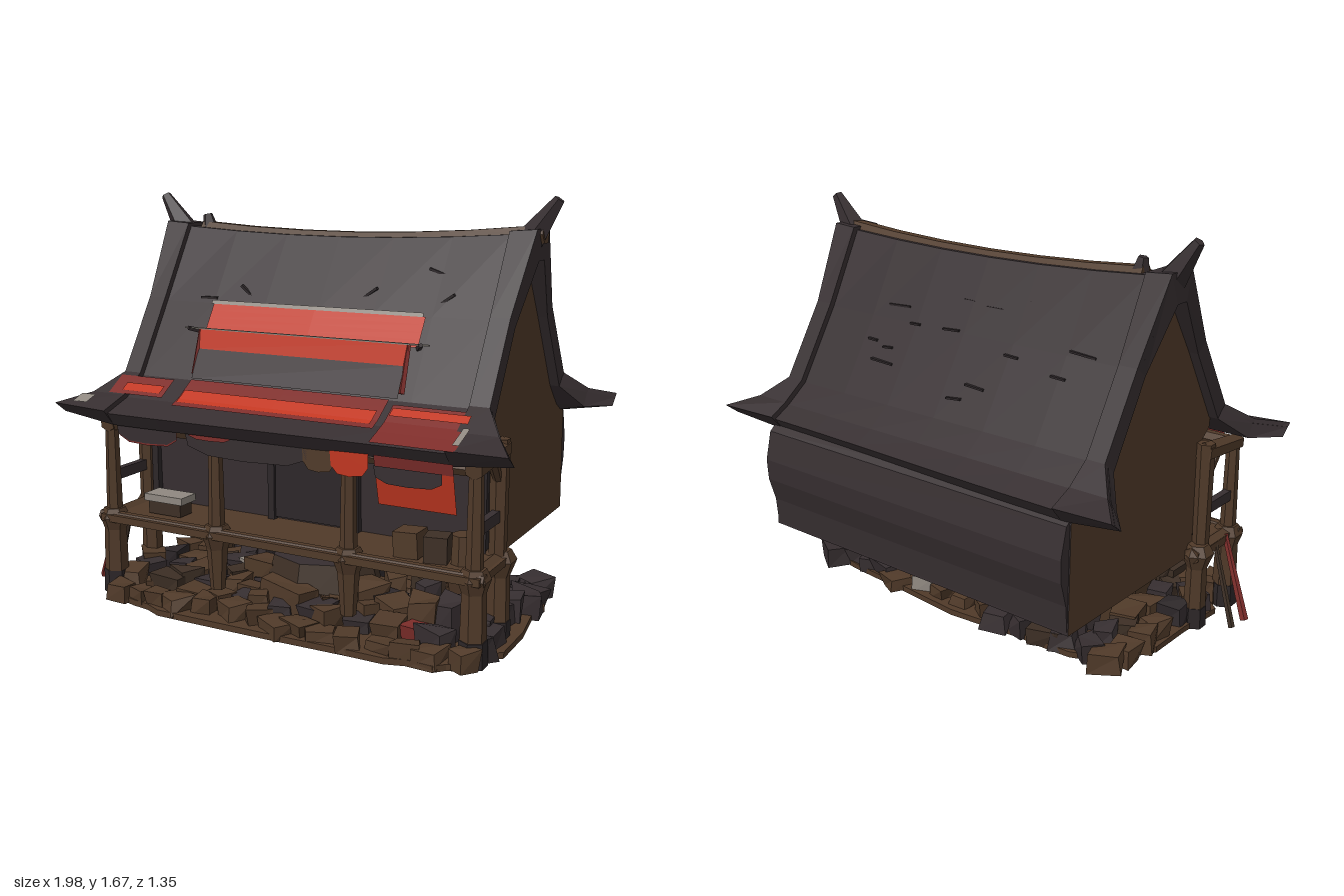
import * as THREE from 'three';

const mat = (name, color, side = THREE.FrontSide) => {
  const m = new THREE.MeshStandardMaterial({ color, side, flatShading: true });
  m.name = name;
  return m;
};

export function createModel() {
  const slate = mat('dark slate', 0x362e30, THREE.DoubleSide);
  const shade = mat('shadow slate', 0x2c2628);
  const wood = mat('brown wood', 0x503a29);
  const darkWood = mat('dark wood', 0x3d2f25);
  const red = mat('bright red', 0xc03620, THREE.DoubleSide);
  const maroon = mat('faded red', 0x7d2d2a, THREE.DoubleSide);
  const grey = mat('pale grey', 0x8f8880);

  let seed = 11;
  const rnd = () => (seed = (seed * 16807) % 2147483647) / 2147483647;
  const span = (a, b) => a + (b - a) * rnd();
  const model = new THREE.Group();
  model.name = 'stiltHouse';

  const add = (name, geo, material, x = 0, y = 0, z = 0, parent = model) => {
    const m = new THREE.Mesh(geo, material);
    m.name = name;
    m.position.set(x, y, z);
    parent.add(m);
    return m;
  };
  const box = (name, w, h, d, x, y, z, material) =>
    add(name, new THREE.BoxGeometry(w, h, d), material, x, y, z);
  // Tapered post between two points
  const beam = (name, a, b, r0, r1, material, sides = 6) => {
    const A = new THREE.Vector3(...a), B = new THREE.Vector3(...b), d = B.clone().sub(A);
    const m = add(name, new THREE.CylinderGeometry(r1, r0, d.length(), sides), material);
    m.position.copy(A).add(B).multiplyScalar(0.5);
    m.quaternion.setFromUnitVectors(new THREE.Vector3(0, 1, 0), d.normalize());
    return m;
  };
  // Side outline (z, y) extruded across the width
  const across = (name, outline, width, material) => {
    const shape = new THREE.Shape(outline.map(([z, y]) => new THREE.Vector2(-z, y)));
    const g = new THREE.ExtrudeGeometry(shape, { depth: width, bevelEnabled: false });
    add(name, g.rotateY(Math.PI / 2).translate(-width / 2, 0, 0), material);
  };
  // Faceted skin over rows of points; closed rows get strip end caps
  const loft = (rows, closed) => {
    const p = [], n = rows[0].length;
    const quad = (a, b, c, d) => p.push(...a, ...b, ...c, ...a, ...c, ...d);
    for (let i = 0; i + 1 < rows.length; i++)
      for (let j = 0; j < (closed ? n : n - 1); j++) {
        const k = (j + 1) % n;
        quad(rows[i][j], rows[i + 1][j], rows[i + 1][k], rows[i][k]);
      }
    if (closed) [rows[0], rows[rows.length - 1]].forEach((r, e) => {
      for (let j = 0; j < n / 2 - 1; j++) {
        const q = [r[j], r[j + 1], r[n - 2 - j], r[n - 1 - j]];
        quad(...(e ? q.reverse() : q));
      }
    });
    const g = new THREE.BufferGeometry();
    g.setAttribute('position', new THREE.Float32BufferAttribute(p, 3));
    g.computeVertexNormals();
    return g;
  };

  // House body: gable ends in wood, walls and underside in slate, bulging back wall
  across('houseBody', [[0.25, 0.31], [0.26, 0.78], [0.34, 0.84], [0.347, 0.9], [0.152, 1.2], [0, 1.44], [-0.08, 1.44],
    [-0.225, 1.2], [-0.41, 0.92], [-0.57, 0.79], [-0.6, 0.74], [-0.605, 0.31]], 1.56, [wood, slate]);
  across('backWall', [[-0.56, 0.79], [-0.62, 0.74], [-0.65, 0.62], [-0.645, 0.53], [-0.615, 0.43], [-0.606, 0.32],
    [-0.58, 0.32]], 1.55, slate);

  // Roof profile: outer z, outer y, inner z, inner y, from front eave to back eave
  const profile = [[0.6, 0.8, 0.56, 0.745], [0.48, 0.845, 0.45, 0.79], [0.368, 0.92, 0.335, 0.885],
    [0.183, 1.22, 0.147, 1.195], [0, 1.5, -0.01, 1.43], [-0.1, 1.5, -0.07, 1.43], [-0.257, 1.22, -0.22, 1.195],
    [-0.442, 0.92, -0.405, 0.885], [-0.54, 0.845, -0.5, 0.79], [-0.63, 0.8, -0.59, 0.745]];
  const roofRow = (x, lift) => {
    const s = Math.sign(x), end = Math.max(0, (Math.abs(x) - 0.74) / 0.1);
    const outer = [], inner = [];
    profile.forEach(([z, y, iz, iy], i) => {
      const dir = i < 5 ? 1 : -1, eave = i % 9 === 0, mid = i === 1 || i === 8, top = i === 4 || i === 5;
      const dx = s * end * (eave ? 0.15 : mid ? 0.06 : top ? 0.01 : -0.02);
      const dy = eave ? 0.012 * end : top ? 0.05 * x * x : 0;
      const dz = eave ? dir * (0.022 * end + 0.012 * Math.sin(x * 23)) : 0;
      outer.push([x + dx, y + dy + lift * 0.7, z + dz + dir * lift]);
      inner.unshift([x + dx, iy + (eave ? 0.035 * end : 0), iz + dz]);
    });
    return [...outer, ...inner];
  };
  const roof = (name, xs, lift) => add(name, loft(xs.map(x => roofRow(x, lift)), true), slate);
  roof('roof', [-0.84, -0.74, -0.5, -0.25, 0, 0.25, 0.5, 0.74, 0.84], 0);
  for (const s of [-1, 1]) {
    roof('gableTrim', s < 0 ? [-0.84, -0.74] : [0.74, 0.84], 0.02);
    beam('ridgeHorn', [s * 0.79, 1.49, -0.05], [s * 0.91, 1.66, -0.05], 0.062, 0.022, slate, 5);
  }
  beam('ridgeKnob', [-0.66, 1.45, -0.05], [-0.685, 1.58, -0.05], 0.055, 0.02, slate, 5);

  // Sagging ridge pole
  const ridge = [-0.7, -0.45, -0.2, 0.05, 0.3, 0.55, 0.86].map(x => [x, 1.485 + 0.06 * x * x, -0.05]);
  for (let i = 0; i < ridge.length - 1; i++) beam('ridgePole', ridge[i], ridge[i + 1], 0.04, 0.04, wood, 6);

  // Painted patches lying on the front slope
  const frontZ = y => {
    for (let i = 0; i < 4; i++) {
      const [z0, y0] = profile[i], [z1, y1] = profile[i + 1];
      if (y <= y1) return z0 + (z1 - z0) * (y - y0) / (y1 - y0);
    }
    return 0;
  };
  const patch = (name, x0, x1, y0, y1, material, lift = 0.012) => {
    const rows = [x0, (x0 + x1) / 2, x1].map(x =>
      [0, 0.25, 0.5, 0.75, 1].map(t => y0 + (y1 - y0) * t).map(y => [x, y + lift, frontZ(y) + lift]));
    add(name, loft(rows, false), material);
  };
  patch('roofBand', -0.82, -0.55, 0.845, 0.905, maroon, 0.018);
  patch('roofBandBright', -0.76, -0.57, 0.855, 0.88, red, 0.021);
  patch('roofBand', -0.48, 0.42, 0.832, 0.915, maroon);
  patch('roofBandBright', -0.47, 0.4, 0.84, 0.878, red, 0.016);
  patch('roofBand', 0.45, 0.78, 0.8, 0.9, maroon, 0.015);
  patch('roofBandBright', 0.46, 0.77, 0.865, 0.888, red, 0.02);
  patch('upperBanner', -0.49, 0.48, 1.1, 1.21, red, 0.01);
  patch('bannerEdge', -0.5, 0.47, 1.207, 1.222, grey, 0.012);
  patch('eaveTip', -0.92, -0.85, 0.808, 0.83, grey, 0.028);
  patch('eaveTip', 0.765, 0.79, 0.81, 0.85, grey, 0.026);

  // Propped banner board leaning out from the roof
  const board = (name, x0, x1, y0, z0, y1, z1, material) =>
    add(name, loft([x0, x1].map(x => [[x, y0, z0], [x, y1, z1]]), false), material);
  board('bannerCloth', -0.48, 0.47, 1.05, 0.345, 1.13, 0.325, red);
  board('bannerBoard', -0.47, 0.46, 0.935, 0.4, 1.05, 0.345, slate);
  box('bannerRail', 1.1, 0.005, 0.012, 0, 1.13, 0.32, grey);
  for (const x of [-0.53, 0.52]) beam('bannerProp', [x * 0.9, 1.1, 0.24], [x, 1.13, 0.33], 0.012, 0.01, slate, 4);
  for (const x of [-0.475, 0.465]) beam('bannerStay', [x, 0.95, 0.375], [x, 1.125, 0.318], 0.012, 0.01, maroon, 4);

  // Slivers of lifted thatch on both slopes
  for (let i = 0; i < 16; i++) {
    const y = span(1.0, 1.38), x = span(-0.6, 0.6), w = span(0.05, 0.12);
    box('thatchSliver', w, 0.008, 0.016, x, y, -0.076 - frontZ(y), shade).rotation.z = span(-0.1, 0.1);
  }
  for (const [x, y, a] of [[0.21, 1.29, 0.6], [-0.35, 1.27, -0.7], [0.54, 1.28, 0.6], [0.48, 1.38, -0.3], [-0.53, 1.24, 0]])
    box('thatchSliver', 0.08, 0.01, 0.016, x, y, frontZ(y), shade).rotation.z = a;

  // Recessed front wall framing
  for (const x of [-0.76, -0.17, 0.22, 0.76]) box('wallStud', 0.03, 0.42, 0.03, x, 0.55, 0.265, shade);
  box('doorPanel', 0.36, 0.38, 0.012, 0.025, 0.55, 0.262, shade);

  // Porch deck, posts and end frames
  box('porchDeck', 1.7, 0.03, 0.33, 0.01, 0.335, 0.39, wood);
  beam('deckBeam', [-0.86, 0.335, 0.52], [0.87, 0.335, 0.52], 0.026, 0.026, wood);
  beam('eaveBeam', [-0.82, 0.735, 0.5], [0.84, 0.735, 0.5], 0.03, 0.03, wood);
  for (const x of [-0.81, -0.29, 0.31, 0.82]) {
    const outer = Math.abs(x) > 0.5;
    beam('porchPost', [x, 0.35, 0.5], [x, 0.75, 0.5], 0.034, 0.027, wood);
    beam('postCollar', [x, 0.26, 0.5], [x, 0.33, 0.5], 0.04, 0.064, wood);
    beam('postCap', [x, 0.33, 0.5], [x, 0.37, 0.5], 0.064, 0.045, wood);
    beam('postLeg', [x, outer ? 0 : 0.1, 0.5], [x, 0.3, 0.5], outer ? 0.052 : 0.03, 0.046, wood);
    if (outer) {
      beam('legFoot', [x, 0, 0.5], [x, 0.1, 0.5], 0.056, 0.054, shade);
      beam('rearPost', [x, 0.33, 0.27], [x, 0.8, 0.27], 0.034, 0.038, wood);
      beam('rearLeg', [x, 0, 0.25], [x, 0.3, 0.25], 0.046, 0.042, wood);
      beam('rearFoot', [x, 0, 0.25], [x, 0.09, 0.25], 0.05, 0.048, shade);
      beam('rearCollar', [x, 0.26, 0.25], [x, 0.33, 0.25], 0.04, 0.068, wood);
      beam('rearCap', [x, 0.33, 0.25], [x, 0.37, 0.25], 0.068, 0.045, wood);
      beam('sideBeam', [x, 0.33, 0.2], [x, 0.33, 0.54], 0.036, 0.036, wood);
      beam('sideLintel', [x, 0.765, 0.25], [x, 0.735, 0.53], 0.042, 0.036, wood);
      beam('sideBrace', [x, 0.65, 0.29], [x, 0.75, 0.36], 0.018, 0.024, wood);
      box('sideRail', 0.03, 0.045, 0.2, x, 0.51, 0.39, slate);
    }
  }
  for (const x of [-0.29, 0.27]) beam('rearStilt', [x, 0, -0.13], [x, 0.32, -0.13], 0.058, 0.04, slate);
  beam('leaningPole', [-0.965, 0.01, 0.4], [-0.83, 0.35, 0.44], 0.018, 0.012, maroon, 5);
  beam('leaningPole', [-0.955, 0.01, 0.31], [-0.83, 0.34, 0.36], 0.014, 0.01, darkWood, 5);

  // Cloth hanging under the eave, with a sagging lower hem
  const drape = (name, x0, x1, top, drop, material, z = 0.555) => {
    const s = new THREE.Shape(), w = x1 - x0;
    s.moveTo(x0, top);
    s.lineTo(x0 + 0.03 * w, top - drop * 0.65);
    s.lineTo(x0 + 0.2 * w, top - drop * 0.95);
    s.lineTo(x0 + 0.5 * w, top - drop);
    s.lineTo(x0 + 0.85 * w, top - drop * 0.92);
    s.lineTo(x1, top - drop * 0.6);
    s.lineTo(x1, top);
    add(name, new THREE.ShapeGeometry(s), material, 0, 0, z);
  };
  drape('drapeHem', -0.74, -0.44, 0.76, 0.088, maroon, 0.551);
  drape('darkDrape', -0.74, -0.44, 0.76, 0.08, slate);
  drape('darkDrape', -0.4, 0.16, 0.76, 0.1, slate);
  drape('tornDrape', -0.38, -0.18, 0.76, 0.035, maroon, 0.56);
  drape('brownDrape', 0.14, 0.28, 0.76, 0.1, wood);
  drape('redDrape', 0.26, 0.42, 0.76, 0.1, red, 0.558);
  drape('darkDrape', 0.45, 0.72, 0.72, 0.065, slate, 0.575);
  board('hangingBanner', 0.45, 0.76, 0.565, 0.53, 0.715, 0.565, red);
  board('bannerTop', 0.45, 0.76, 0.715, 0.565, 0.76, 0.575, maroon);

  // Goods on the porch
  box('plank', 0.19, 0.03, 0.1, -0.58, 0.425, 0.42, grey);
  box('bench', 0.16, 0.06, 0.08, -0.58, 0.385, 0.42, darkWood);
  box('crate', 0.1, 0.1, 0.1, 0.53, 0.4, 0.42, wood).rotation.z = 0.06;
  box('crate', 0.09, 0.1, 0.09, 0.645, 0.4, 0.43, darkWood).rotation.y = 0.2;
  beam('barrel', [0.74, 0.35, 0.41], [0.74, 0.46, 0.41], 0.05, 0.045, wood, 8);

  // Ragged ground slab
  const edge = [];
  for (let i = 0; i < 40; i++) {
    const a = i / 40 * Math.PI * 2, c = Math.cos(a), s = Math.sin(a), r = span(0.95, 1.03);
    edge.push(new THREE.Vector2(0.03 + 0.85 * r * Math.sign(c) * Math.abs(c) ** 0.45,
      -0.17 + 0.49 * r * Math.sign(s) * Math.abs(s) ** 0.45));
  }
  const slab = new THREE.ExtrudeGeometry(new THREE.Shape(edge), { depth: 0.025, bevelEnabled: false });
  add('groundSlab', slab.rotateX(-Math.PI / 2), wood);

  // Rubble stones: skewed boxes, low at the rim and taller towards the front right
  const rubble = new THREE.Group();
  rubble.name = 'rubble';
  model.add(rubble);
  const stone = (w, h, d, x, z, material) => {
    const g = new THREE.BoxGeometry(w, h, d), p = g.attributes.position;
    const k = Array.from({ length: 8 }, () => span(0.6, 1.1));
    for (let i = 0; i < p.count; i++) {
      const f = k[(p.getX(i) > 0) * 4 + (p.getY(i) > 0) * 2 + (p.getZ(i) > 0)];
      p.setXYZ(i, p.getX(i) * f, p.getY(i) > 0 ? p.getY(i) * f : p.getY(i), p.getZ(i) * f);
    }
    g.computeVertexNormals();
    add('stone', g, material, x, h / 2 + 0.005, z, rubble).rotation.y = span(-0.7, 0.7);
  };
  const tones = [wood, slate, wood, darkWood, wood, slate, shade, wood, darkWood, slate, wood, slate];
  for (let i = 0; i < 15; i++)
    for (let j = 0; j < 9; j++) {
      const x = -0.74 + i * 0.11 + span(-0.03, 0.03), z = -0.26 + j * 0.106 + span(-0.03, 0.03);
      const rim = j === 0 || j === 8 ? 0.75 : 1;
      const h = rim * (span(0.08, 0.125) + (x > 0.35 && x < 0.78 && j > 2 && j < 8 ? span(0, 0.07) : 0));
      const n = i * 9 + j;
      const accent = n % 41 === 40 ? grey : n % 29 === 28 ? maroon : tones[Math.floor(rnd() * 12)];
      const tone = j === 8 ? wood : i > 12 && j < 6 ? slate : accent;
      stone(span(0.09, 0.15), h, span(0.09, 0.14), x, z, tone);
    }
  // Larger block mound beneath the porch
  const mound = new THREE.CylinderGeometry(0.2, 0.25, 0.2, 8);
  add('mound', mound, [darkWood, slate, wood], 0.03, 0.12, 0.19).scale.x = 1.1;
  stone(0.2, 0.18, 0.16, -0.2, 0.25, wood);
  stone(0.16, 0.16, 0.16, 0.27, 0.3, wood);
  stone(0.3, 0.15, 0.12, 0, 0.42, wood);

  return model;
}
